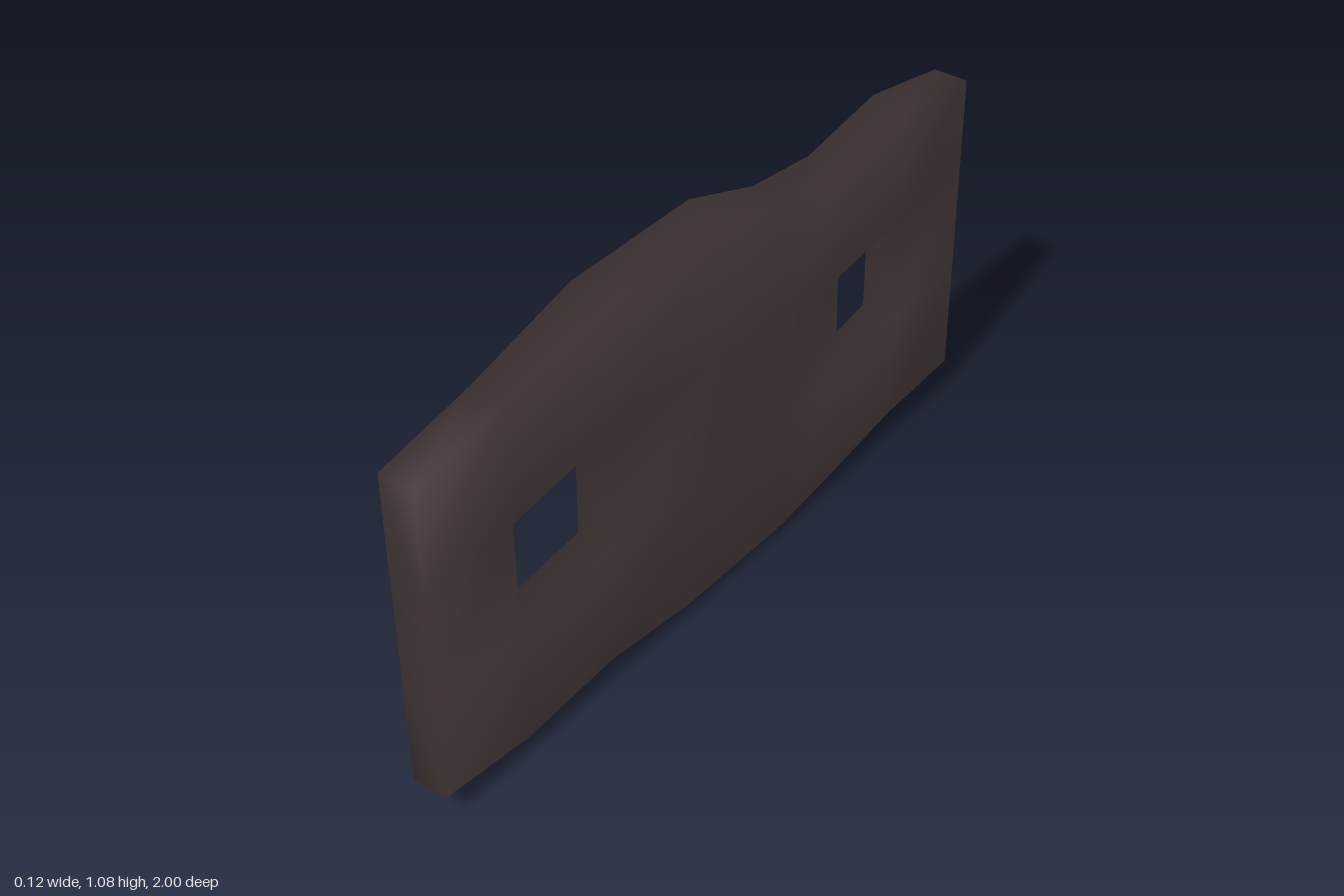
import * as THREE from 'three';

// Columns run from the front end (+z) to the back end; each has four rows,
// bottom edge, window sill, window head and top edge, as [z, y] pairs.
const columns = [
  [[1, 0.09], [1, 0.38], [1, 0.68], [1, 0.95]],
  [[0.73, 0.055], [0.73, 0.375], [0.73, 0.685], [0.73, 1.0]],
  [[0.43, 0.07], [0.425, 0.405], [0.42, 0.725], [0.41, 1.083]],
  [[0.14, 0.02], [0.1, 0.39], [0.05, 0.72], [0.01, 1.083]],
  [[-0.24, 0.005], [-0.23, 0.37], [-0.23, 0.69], [-0.23, 1.0]],
  [[-0.46, 0.04], [-0.46, 0.36], [-0.455, 0.665], [-0.45, 0.975]],
  [[-0.72, 0.09], [-0.72, 0.4], [-0.72, 0.695], [-0.72, 1.018]],
  [[-1, 0.1], [-1, 0.4], [-1, 0.69], [-1, 0.965]],
];
const ROWS = 4;
const windows = [1, 5]; // column bays left open in the middle row
const topDrop = [0, 0, 0.025, 0, 0, 0, 0.01, 0];
const bottomLift = [0, 0, 0, 0.012, 0.02, 0.012, 0, 0];
const bulge = [0, 0, 0.003, 0.03, 0.012, 0, 0, 0]; // swelling of the outer face

function slabGeometry() {
  const positions = [];
  const indices = [];
  // inner and outer vertex for every grid point
  columns.forEach((column, i) => column.forEach(([z, y], j) => {
    const shift = j === 0 ? bottomLift[i] : j === ROWS - 1 ? -topDrop[i] : 0;
    positions.push(-0.062, y, z);
    positions.push(0.032 + bulge[i] * j / (ROWS - 1), y + shift, z);
  }));
  const inner = ([i, j]) => (i * ROWS + j) * 2;
  const outer = (p) => inner(p) + 1;
  const quad = (a, b, c, d) => indices.push(a, b, c, a, c, d);
  const solid = (i, j) => i >= 0 && i < columns.length - 1 && j >= 0 && j < ROWS - 1
    && !(j === 1 && windows.includes(i));

  for (let i = 0; i < columns.length - 1; i++) {
    for (let j = 0; j < ROWS - 1; j++) {
      if (!solid(i, j)) continue;
      const c = [[i, j], [i + 1, j], [i + 1, j + 1], [i, j + 1]];
      quad(...c.map(outer));
      quad(...c.map(inner).reverse());
      // rim walls wherever the neighbouring cell is open
      [[0, -1], [1, 0], [0, 1], [-1, 0]].forEach(([di, dj], k) => {
        if (solid(i + di, j + dj)) return;
        const a = c[k], b = c[(k + 1) % 4];
        quad(outer(b), outer(a), inner(a), inner(b));
      });
    }
  }
  const geometry = new THREE.BufferGeometry();
  geometry.setAttribute('position', new THREE.Float32BufferAttribute(positions, 3));
  geometry.setIndex(indices);
  geometry.computeVertexNormals(); // shared corners give soft edges
  return geometry;
}

export function createModel() {
  const group = new THREE.Group();
  group.name = 'windowedPlank';
  const darkWood = new THREE.MeshStandardMaterial({ color: 0x4a3d3d });
  darkWood.name = 'darkWood';
  const slab = new THREE.Mesh(slabGeometry(), darkWood);
  slab.name = 'slabWithTwoWindows';
  group.add(slab);
  return group;
}
